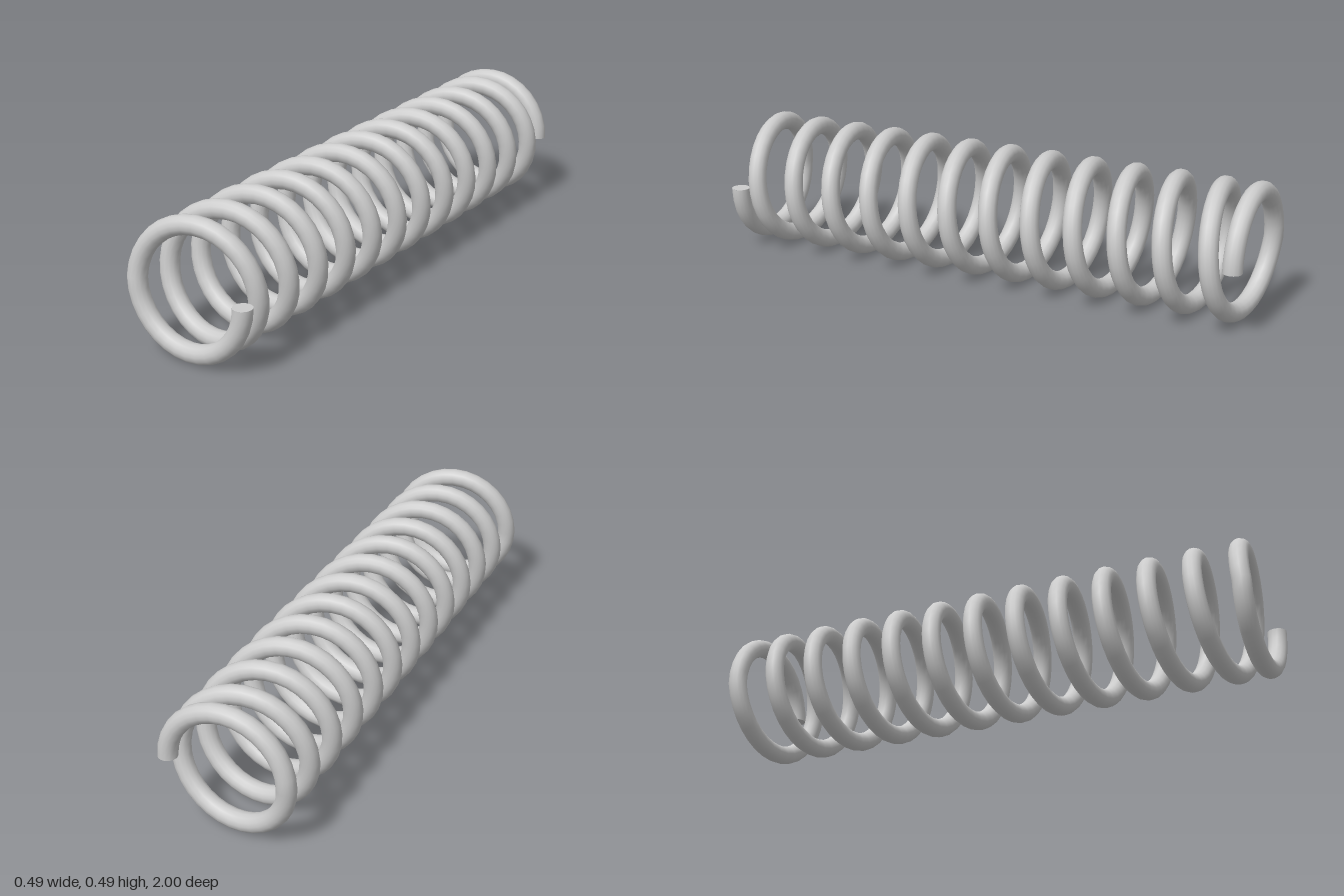
import * as THREE from 'three';

const COIL_R = 0.21;    // centre line radius of the coil
const WIRE_R = 0.0335;  // wire radius
const CENTRE_Y = 0.244;
const END_Z = 0.9665;
const TURNS = 13;       // 12 pitched turns plus a flat half turn at each end
const SIDES = 14;

// Helix running front to back, with closed (flat) end half turns
class SpringCurve extends THREE.Curve {
  getPoint(t, target = new THREE.Vector3()) {
    const turn = t * TURNS;
    const a = -turn * Math.PI * 2;
    const rise = THREE.MathUtils.clamp((turn - 0.5) / (TURNS - 1), 0, 1);
    return target.set(
      COIL_R * Math.cos(a),
      CENTRE_Y + COIL_R * Math.sin(a),
      END_Z * (1 - 2 * rise)
    );
  }
}

export function createModel() {
  const group = new THREE.Group();
  group.name = 'coilSpring';
  const material = new THREE.MeshStandardMaterial({ color: 0xcccccc });

  // Coiled wire
  const curve = new SpringCurve();
  curve.arcLengthDivisions = 2600;
  const wire = new THREE.Mesh(
    new THREE.TubeGeometry(curve, TURNS * 32, WIRE_R, SIDES, false), material);
  wire.name = 'wire';
  group.add(wire);

  // Flat cut faces at the two wire ends
  const addCap = (name, t, direction) => {
    const cap = new THREE.Mesh(new THREE.CircleGeometry(WIRE_R, SIDES), material);
    cap.name = name;
    cap.position.copy(curve.getPoint(t));
    const normal = curve.getTangent(t).multiplyScalar(direction);
    cap.quaternion.setFromUnitVectors(new THREE.Vector3(0, 0, 1), normal);
    group.add(cap);
  };
  addCap('frontWireEnd', 0, -1);
  addCap('backWireEnd', 1, 1);

  return group;
}
